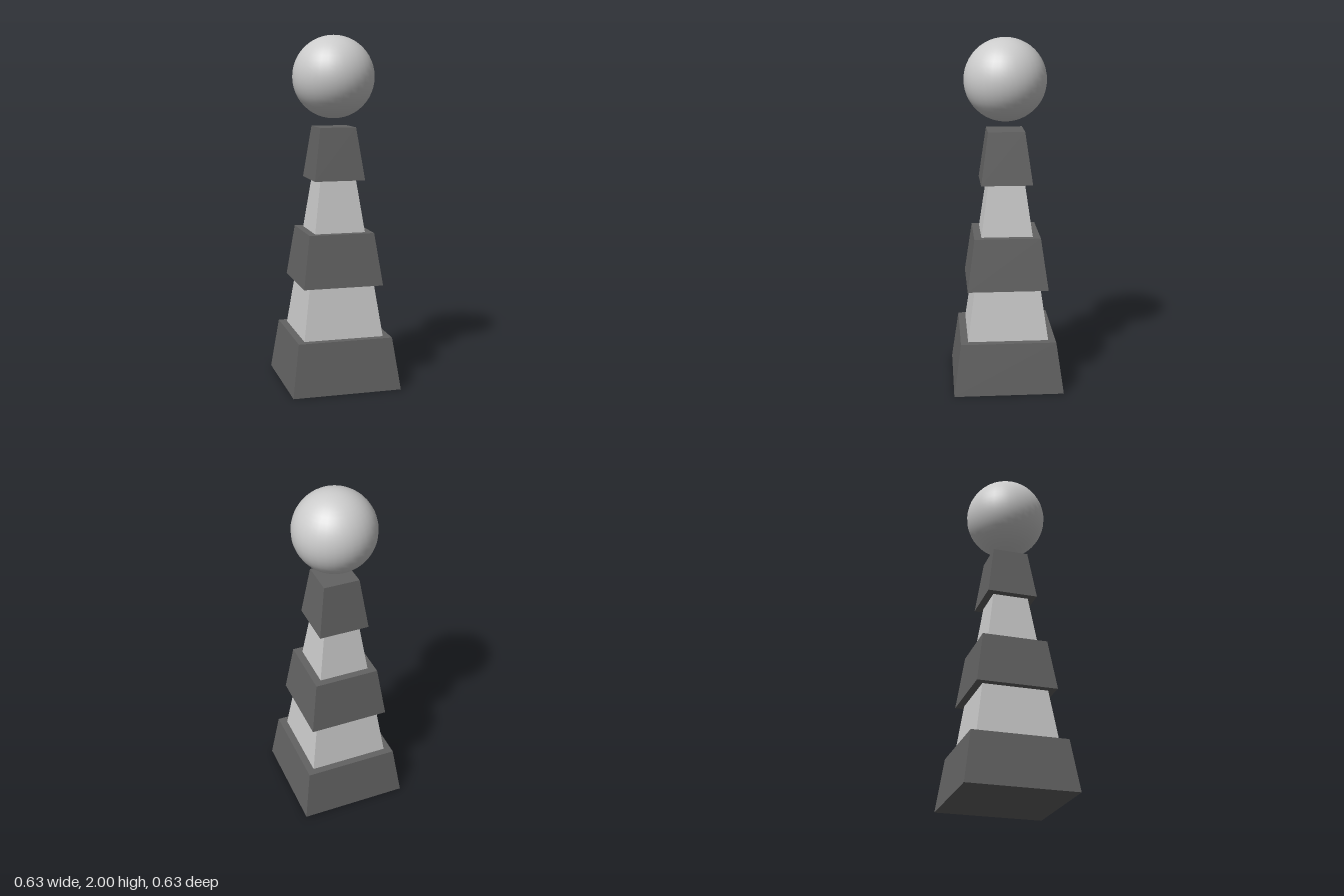
import * as THREE from 'three';

const light = new THREE.MeshStandardMaterial({ color: 0xcccccc });
const dark = new THREE.MeshStandardMaterial({ color: 0x636363, flatShading: true });
const pale = new THREE.MeshStandardMaterial({ color: 0xcccccc, flatShading: true });

// Square tapered block given by its half widths at bottom and top
function taperedBlock(name, bottom, top, y, height, material) {
  const geometry = new THREE.CylinderGeometry(top * Math.SQRT2, bottom * Math.SQRT2, height, 4);
  geometry.rotateY(Math.PI / 4);
  const mesh = new THREE.Mesh(geometry, material);
  mesh.name = name;
  mesh.position.y = y + height / 2;
  return mesh;
}

export function createModel() {
  const model = new THREE.Group();
  model.name = 'bandedTower';

  // Five stacked blocks, alternating dark and light
  const height = 0.297;
  const taper = 0.042;
  const bottoms = [0.314, 0.23, 0.23, 0.146, 0.146];
  bottoms.forEach((bottom, i) => {
    const isDark = i % 2 === 0;
    model.add(taperedBlock((isDark ? 'darkBlock' : 'lightBlock') + (i + 1),
      bottom, bottom - taper, i * height, height, isDark ? dark : pale));
  });

  // Ball floating just above the top block
  const radius = 0.234;
  const ball = new THREE.Mesh(new THREE.SphereGeometry(radius, 32, 24), light);
  ball.name = 'topBall';
  ball.position.y = 2 - radius;
  model.add(ball);

  return model;
}
